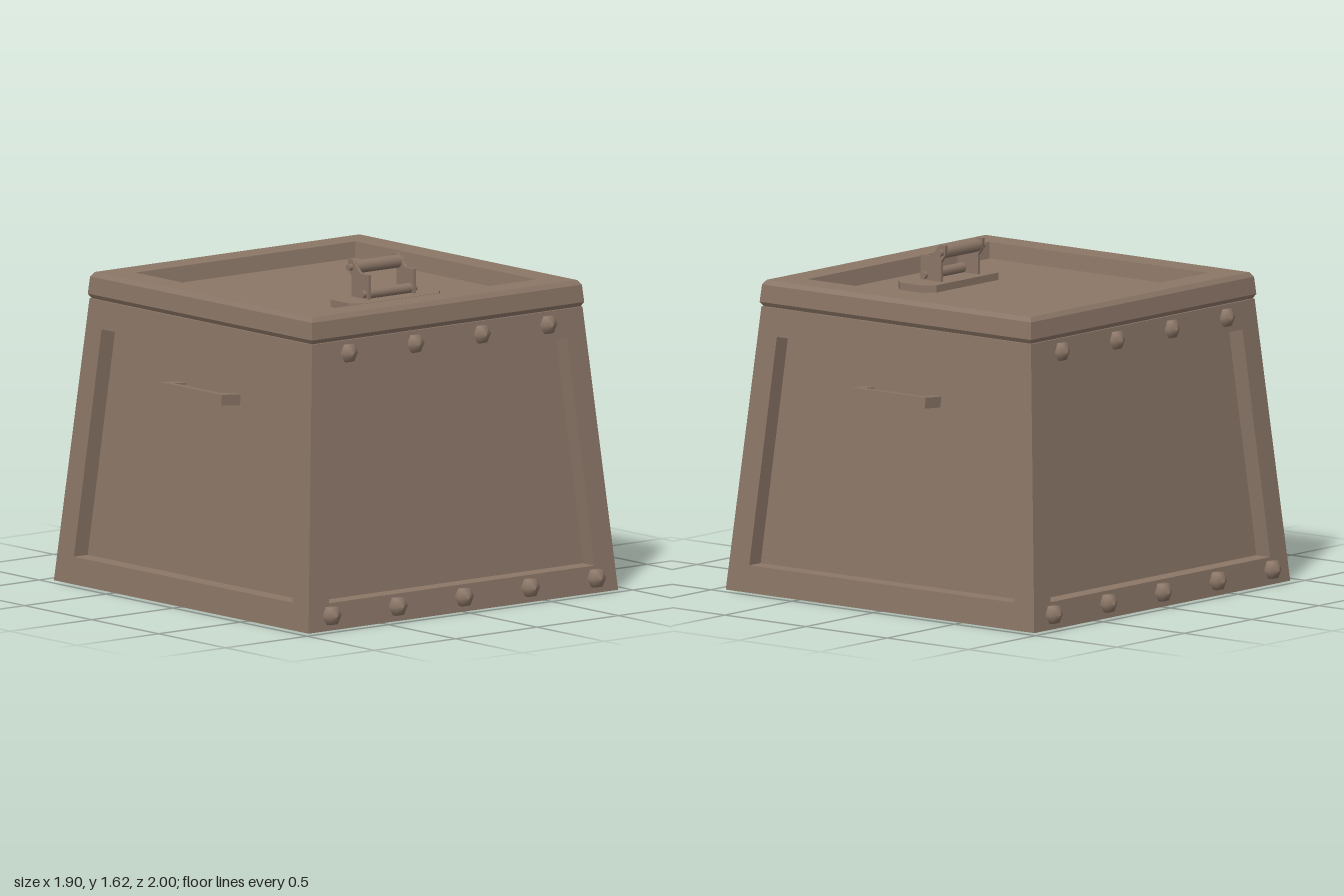
import * as THREE from 'three';

// Surface through a series of rings (counter-clockwise from outside), closed by the last one
function ringSurface(rings) {
  const pos = [];
  const tri = (a, b, c) => pos.push(...a, ...b, ...c);
  for (let r = 0; r < rings.length - 1; r++) {
    const A = rings[r], B = rings[r + 1], n = A.length;
    for (let i = 0; i < n; i++) {
      const j = (i + 1) % n;
      tri(A[i], A[j], B[j]);
      tri(A[i], B[j], B[i]);
    }
  }
  const cap = rings[rings.length - 1];
  for (let i = 1; i < cap.length - 1; i++) tri(cap[0], cap[i], cap[i + 1]);
  const g = new THREE.BufferGeometry();
  g.setAttribute('position', new THREE.Float32BufferAttribute(pos, 3));
  g.computeVertexNormals();
  return g;
}

const square = ([s, y]) => [[s, y, s], [s, y, -s], [-s, y, -s], [-s, y, s]];

// Half width of the tapering body at height y
const TOP = 1.36, SLOPE = 0.12 / TOP;
const half = (y) => 0.95 - SLOPE * y;

export function createModel() {
  const model = new THREE.Group();
  const metal = new THREE.MeshStandardMaterial({ color: 0x8b7667 });
  metal.name = 'brown metal';

  const add = (name, geometry, parent = model) => {
    const m = new THREE.Mesh(geometry, metal);
    m.name = name;
    parent.add(m);
    return m;
  };

  // Four walls, each a sloping frame around a recessed panel of the same slope
  const trapezoid = (y0, x0, y1, x1, depth) => [
    [-x0, y0, half(y0) - depth], [x0, y0, half(y0) - depth],
    [x1, y1, half(y1) - depth], [-x1, y1, half(y1) - depth],
  ];
  const wall = ringSurface([
    trapezoid(0, half(0), TOP, half(TOP), 0),
    trapezoid(0.13, 0.815, 1.226, 0.725, 0),
    trapezoid(0.13, 0.815, 1.226, 0.725, 0.085),
  ]);
  ['frontWall', 'leftWall', 'backWall', 'rightWall'].forEach((name, i) => {
    add(name, wall).rotation.y = i * Math.PI / 2;
  });

  // Underside with a shallow recess
  const base = ringSurface([[0.95, 0], [0.824, 0], [0.82, -0.02]].map(square));
  base.rotateX(Math.PI);
  add('underside', base);

  // Lid with undercut, chamfered rim and sunken top
  add('lid', ringSurface([
    [0.83, 1.36], [0.823, 1.361], [0.836, 1.382], [0.828, 1.465],
    [0.812, 1.487], [0.675, 1.487], [0.663, 1.41],
  ].map(square)));

  // Smooth six-sided rivets along the front and back
  const rivet = new THREE.LatheGeometry(
    [[0.048, -0.02], [0.048, 0.02], [0.025, 0.038], [0, 0.049]].map((p) => new THREE.Vector2(...p)),
    6, Math.PI / 2);
  rivet.rotateX(Math.PI / 2);
  const rows = [
    { y: 0.072, z: 0.951, xs: [-0.812, -0.406, 0, 0.406, 0.812] },
    { y: 1.298, z: 0.83, xs: [-0.612, -0.204, 0.204, 0.612] },
  ];
  for (const side of [0, 1]) {
    const rivets = new THREE.Group();
    rivets.name = side ? 'backRivets' : 'frontRivets';
    rivets.rotation.y = side * Math.PI;
    model.add(rivets);
    for (const { y, z, xs } of rows) {
      for (const x of xs) add('rivet', rivet, rivets).position.set(x, y, z);
    }
  }

  // Carrying handles on both sides, tilted with the walls
  for (const s of [1, -1]) {
    const handle = new THREE.Group();
    handle.name = s > 0 ? 'leftHandle' : 'rightHandle';
    handle.position.set(s * 0.869, 1.017, 0);
    handle.rotation.z = s * Math.atan(SLOPE);
    model.add(handle);
    add('grip', new THREE.BoxGeometry(0.045, 0.052, 0.46), handle);
    for (const z of [-0.205, 0.205]) {
      add('gripEnd', new THREE.BoxGeometry(0.085, 0.052, 0.05), handle).position.set(-s * 0.06, 0, z);
    }
  }

  // Lid latch: cut-corner plate, two cheek brackets and two rollers
  const latch = new THREE.Group();
  latch.name = 'lidLatch';
  model.add(latch);

  const shape = (pts) => new THREE.Shape(pts.map((p) => new THREE.Vector2(...p)));
  const plate = new THREE.ExtrudeGeometry(shape([
    [-0.28, -0.067], [-0.23, -0.117], [0.23, -0.117], [0.28, -0.067],
    [0.28, 0.067], [0.23, 0.117], [-0.23, 0.117], [-0.28, 0.067],
  ]), { depth: 0.035, bevelEnabled: false });
  plate.rotateX(-Math.PI / 2);
  add('latchPlate', plate, latch).position.set(0, 1.41, 0.367);

  const cheek = new THREE.ExtrudeGeometry(shape([
    [0.42, 1.44], [0.42, 1.563], [0.355, 1.563], [0.297, 1.622],
    [0.263, 1.622], [0.27, 1.57], [0.293, 1.54], [0.293, 1.44],
  ]), { depth: 0.015, bevelEnabled: false });
  cheek.rotateY(-Math.PI / 2);
  for (const x of [-0.13, 0.145]) add('latchBracket', cheek, latch).position.x = x;

  const bar = (name, r, length, y, z) => {
    const g = new THREE.CylinderGeometry(r, r, length, 12);
    g.rotateZ(Math.PI / 2);
    add(name, g, latch).position.set(0, y, z);
  };
  bar('upperRoller', 0.032, 0.27, 1.585, 0.3);
  bar('upperPin', 0.016, 0.33, 1.585, 0.29);
  bar('lowerRoller', 0.025, 0.27, 1.468, 0.39);
  bar('lowerPin', 0.018, 0.33, 1.468, 0.39);

  return model;
}
